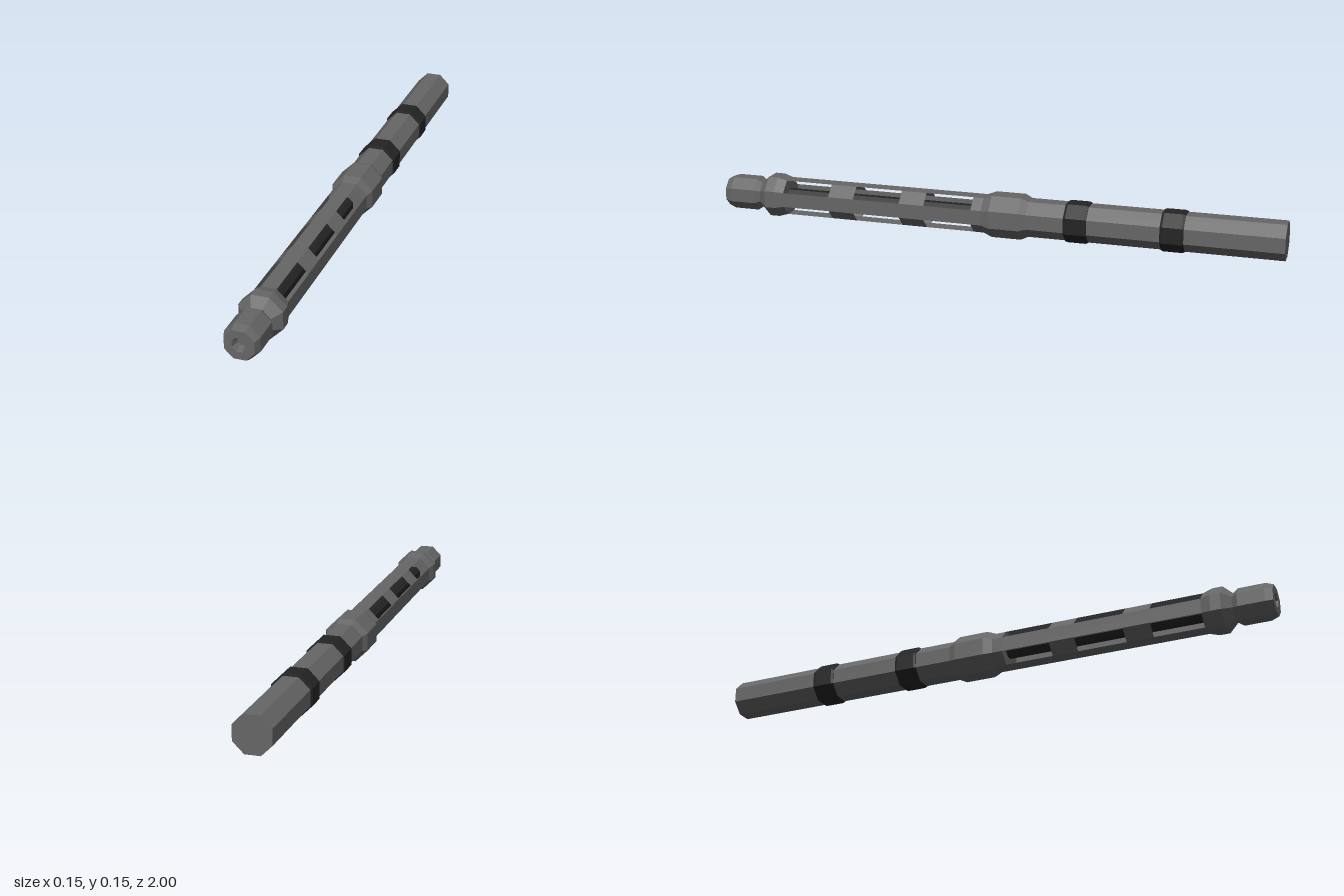
import * as THREE from 'three';

const CENTER_Y = 0.0735;

// Flat-faceted octagonal surface along z; profile entries are [half width across flats, z]
function octagon(profile, firstFace = 0, faces = 8) {
  const pts = profile.map(([r, z]) => new THREE.Vector2(r / Math.cos(Math.PI / 8), z));
  const start = Math.PI / 8 + firstFace * Math.PI / 4;
  const geo = new THREE.LatheGeometry(pts, faces, start, faces * Math.PI / 4).toNonIndexed();
  geo.rotateX(Math.PI / 2);
  geo.computeVertexNormals();
  return geo;
}

export function createModel() {
  const gunmetal = new THREE.MeshStandardMaterial({ color: 0x666666 });
  gunmetal.name = 'gunmetal';
  const sheet = new THREE.MeshStandardMaterial({ color: 0x666666, side: THREE.DoubleSide });
  sheet.name = 'gunmetalSheet';
  const black = new THREE.MeshStandardMaterial({ color: 0x242424 });
  black.name = 'black';

  const group = new THREE.Group();
  group.name = 'slottedRod';
  const add = (name, geo, mat) => {
    const mesh = new THREE.Mesh(geo, mat);
    mesh.name = name;
    mesh.position.y = CENTER_Y;
    group.add(mesh);
  };

  // Solid rear handle, widening into the middle collar
  add('handle', octagon([
    [0, -1], [0.062, -1], [0.062, -0.13], [0.0735, -0.105], [0.0735, 0.0],
    [0.062, 0.03], [0.062, 0.067], [0, 0.067],
  ]), gunmetal);

  // Black grip bands with small chamfers
  for (const z of [-0.3, -0.629]) {
    add('gripBand', octagon([
      [0.06, z - 0.04], [0.064, z - 0.04], [0.067, z - 0.032],
      [0.067, z + 0.032], [0.064, z + 0.04], [0.06, z + 0.04],
    ]), black);
  }

  // Dark core seen through the slots
  add('core', octagon([[0.0255, 0.06], [0.0255, 0.775]]), black);

  // Shroud: four full strips, joined by bridges on the diagonal faces
  for (let i = 0; i < 8; i++) {
    // odd faces lie on the axes, even faces on the diagonals
    if (i % 2) {
      add('shroudStrip', octagon([[0.062, 0.067], [0.062, 0.767]], i, 1), sheet);
    } else {
      for (const [a, b] of [[0.238, 0.329], [0.5, 0.594]]) {
        add('shroudBridge', octagon([[0.062, a], [0.062, b]], i, 1), sheet);
      }
    }
  }

  // Front collar, neck and tip with a shallow tapered recess
  add('tip', octagon([
    [0, 0.767], [0.062, 0.767], [0.0715, 0.8], [0.0715, 0.835], [0.045, 0.866],
    [0.057, 0.885], [0.057, 0.975], [0.048, 1], [0.023, 1], [0.014, 0.975], [0, 0.975],
  ]), gunmetal);

  return group;
}
